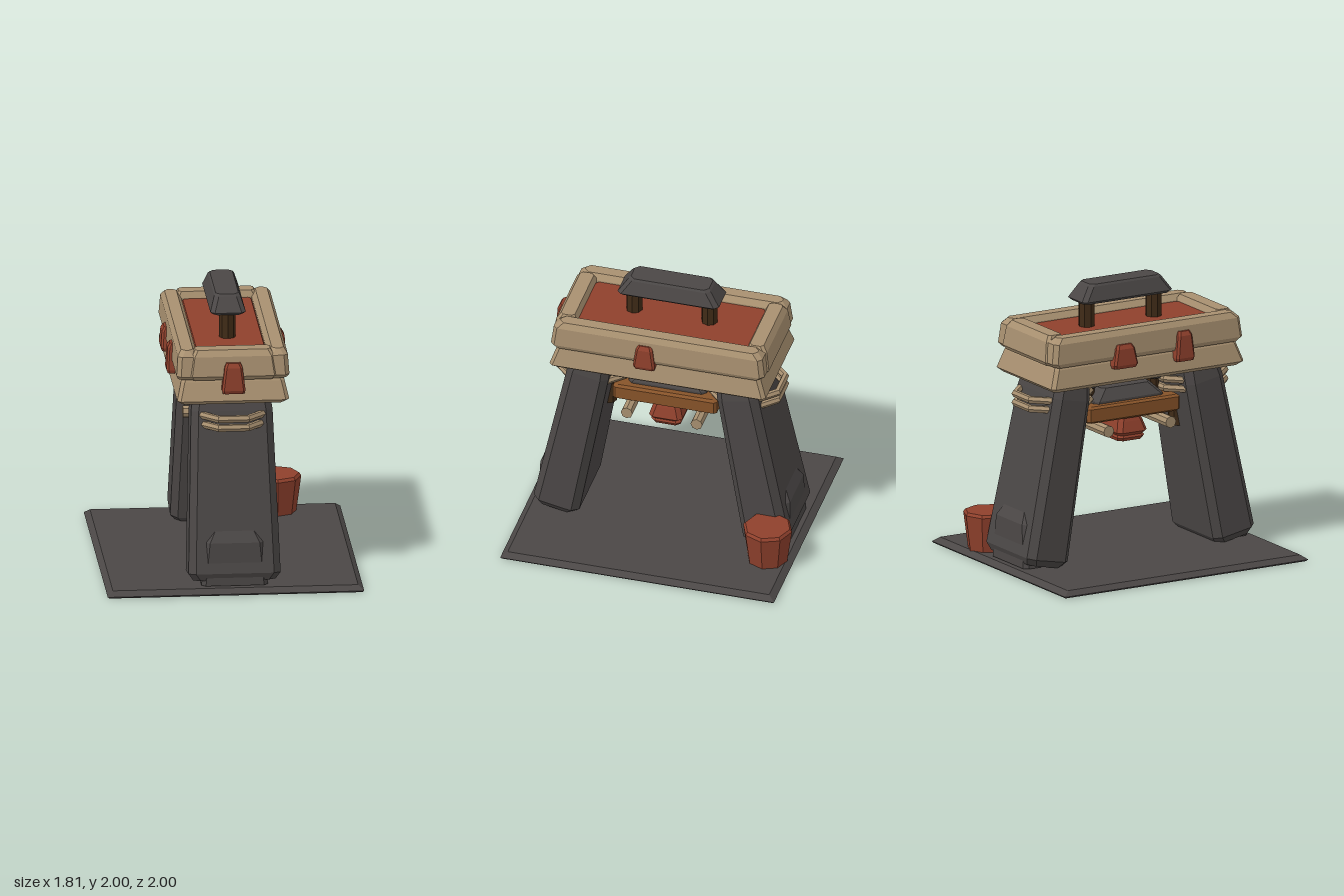
import * as THREE from 'three';

const flat = (name, color) => {
  const m = new THREE.MeshStandardMaterial({ color, flatShading: true });
  m.name = name;
  return m;
};

// Stack of chamfered rectangles; ring = [y, halfX, halfZ, centreX, centreZ]
function loft(rings, chamfer) {
  const pos = [], idx = [], n = 8;
  for (const [y, hx, hz, cx = 0, cz = 0] of rings) {
    const c = Math.min(chamfer, hx * 0.8, hz * 0.8);
    const corners = [[-hx + c, hz], [hx - c, hz], [hx, hz - c], [hx, -hz + c],
      [hx - c, -hz], [-hx + c, -hz], [-hx, -hz + c], [-hx, hz - c]];
    for (const [x, z] of corners) pos.push(cx + x, y, cz + z);
  }
  const last = (rings.length - 1) * n;
  for (let r = 0; r < last; r += n) {
    for (let i = 0; i < n; i++) {
      const a = r + i, b = r + (i + 1) % n;
      idx.push(a, b, b + n, a, b + n, a + n);
    }
  }
  for (let i = 1; i < n - 1; i++) {
    idx.push(0, i + 1, i, last, last + i, last + i + 1);
  }
  const g = new THREE.BufferGeometry();
  g.setAttribute('position', new THREE.Float32BufferAttribute(pos, 3));
  g.setIndex(idx);
  g.computeVertexNormals();
  return g;
}

export function createModel() {
  const stone = flat('dark stone', 0x4b4746);
  const tan = flat('tan wood', 0xa89070);
  const red = flat('red clay', 0x8f402c);
  const brown = flat('dark brown wood', 0x402b17);
  const orange = flat('orange wood', 0x875329);

  const model = new THREE.Group();
  model.name = 'gateStand';
  const add = (name, geometry, material, parent = model) => {
    const m = new THREE.Mesh(geometry, material);
    m.name = name;
    parent.add(m);
    return m;
  };

  // Ground slab
  add('baseSlab', loft([[0, 0.895, 0.99], [0.012, 0.905, 1], [0.045, 0.865, 0.955]], 0.003), stone);

  // Both ends: leaning leg, foot panel, bindings, end beam
  for (const s of [1, -1]) {
    const end = new THREE.Group();
    end.name = s > 0 ? 'frontEnd' : 'backEnd';
    end.rotation.y = s > 0 ? 0 : Math.PI;
    model.add(end);

    const leg = add('leg', loft([[0, 0.29, 0.14], [0.05, 0.325, 0.17],
      [1.2, 0.288, 0.152], [1.32, 0.27, 0.14]], 0.05), stone, end);
    leg.position.set(0, 0.06, 0.775);
    leg.rotation.x = -0.192;

    add('footPanel', loft([[0.05, 0.235, 0.08, 0, 0.842], [0.36, 0.205, 0.08, 0, 0.832],
      [0.45, 0.16, 0.06, 0, 0.803]], 0.03), stone, end);

    for (const y of [1.24, 1.175]) {
      const ring = new THREE.TorusGeometry(0.265, 0.027, 6, 8);
      ring.rotateZ(Math.PI / 8).rotateX(Math.PI / 2);
      add('legBinding', ring, tan, end).position.set(0, y, 0.555);
    }

    add('endBeam', loft([[1.52, 0.29, 0.075, 0, 0.695], [1.55, 0.31, 0.085, 0, 0.705],
      [1.69, 0.29, 0.075, 0, 0.695], [1.733, 0.265, 0.05, 0, 0.69]], 0.02), tan, end);

    // Hanging supports beneath the roof
    add('hangerBlock', loft([[1.24, 0.065, 0.07, 0, 0.285], [1.27, 0.09, 0.095, 0, 0.285],
      [1.36, 0.09, 0.095, 0, 0.285]], 0.03), stone, end);
    add('hangerPost', new THREE.CylinderGeometry(0.05, 0.05, 0.2, 8), brown, end)
      .position.set(0, 1.18, 0.265);
    add('sidePost', new THREE.CylinderGeometry(0.058, 0.058, 0.3, 8), brown, end)
      .position.set(0, 1.02, 0.46);
    const rod = new THREE.CylinderGeometry(0.043, 0.043, 0.54, 8).rotateZ(Math.PI / 2);
    add('crossRod', rod, tan, end).position.set(0, 0.97, 0.255);

    // Ridge post
    add('ridgePost', new THREE.CylinderGeometry(0.058, 0.058, 0.24, 8), brown, end)
      .position.set(0, 1.78, 0.275);
  }

  // Roof
  add('lowerRoof', loft([[1.34, 0.36, 0.755], [1.37, 0.395, 0.79],
    [1.5, 0.365, 0.745], [1.525, 0.35, 0.73]], 0.025), tan);
  for (const s of [1, -1]) {
    add('sideBeam', loft([[1.52, 0.07, 0.75, s * 0.315], [1.55, 0.08, 0.78, s * 0.318],
      [1.69, 0.07, 0.762, s * 0.318], [1.73, 0.042, 0.72, s * 0.32]], 0.03), tan);
  }
  add('roofPanel', loft([[1.5, 0.25, 0.63], [1.67, 0.25, 0.63], [1.685, 0.24, 0.62]], 0.02), red);
  add('ridgeCap', loft([[1.865, 0.105, 0.35], [1.885, 0.125, 0.37],
    [1.985, 0.092, 0.3], [2, 0.08, 0.285]], 0.03), stone);

  // Red clips on the roof edge: [angle, along edge, distance, half width, bottom, top]
  const clips = [
    [0, 0, 0.785, 0.083, 1.43, 1.65],
    [Math.PI / 2, -0.09, 0.38, 0.08, 1.475, 1.665],
    [-Math.PI / 2, -0.205, 0.39, 0.098, 1.46, 1.63],
    [-Math.PI / 2, 0.285, 0.39, 0.075, 1.445, 1.66],
  ];
  for (const [angle, u, d, w, y0, y1] of clips) {
    const clip = add('roofClip', loft([[y0, w * 0.92, 0.035, u, d], [y0 + 0.025, w, 0.045, u, d],
      [y1 - 0.03, w * 0.76, 0.04, u, d - 0.004], [y1, w * 0.6, 0.025, u, d - 0.006]], 0.015), red);
    clip.rotation.y = angle;
  }

  // Hanging beam, its cap and the red weight
  add('hangingBeam', loft([[1.02, 0.18, 0.365], [1.035, 0.2, 0.38],
    [1.125, 0.2, 0.38], [1.14, 0.18, 0.365]], 0.02), orange);
  add('beamCap', loft([[1.13, 0.14, 0.29], [1.155, 0.14, 0.28], [1.235, 0.09, 0.2]], 0.03), stone);
  add('hangingWeight', loft([[0.85, 0.16, 0.1], [0.875, 0.175, 0.11], [0.89, 0.165, 0.1],
    [0.915, 0.19, 0.122], [0.99, 0.165, 0.1], [1.025, 0.15, 0.085]], 0.03), red);

  // Clay pot on the slab
  const pot = new THREE.Group();
  pot.name = 'pot';
  pot.position.set(0.437, 0, -0.822);
  model.add(pot);
  add('potBody', new THREE.CylinderGeometry(0.178, 0.143, 0.26, 8), red, pot).position.y = 0.17;
  add('potTop', new THREE.CylinderGeometry(0.162, 0.178, 0.02, 8), red, pot).position.y = 0.31;

  return model;
}
